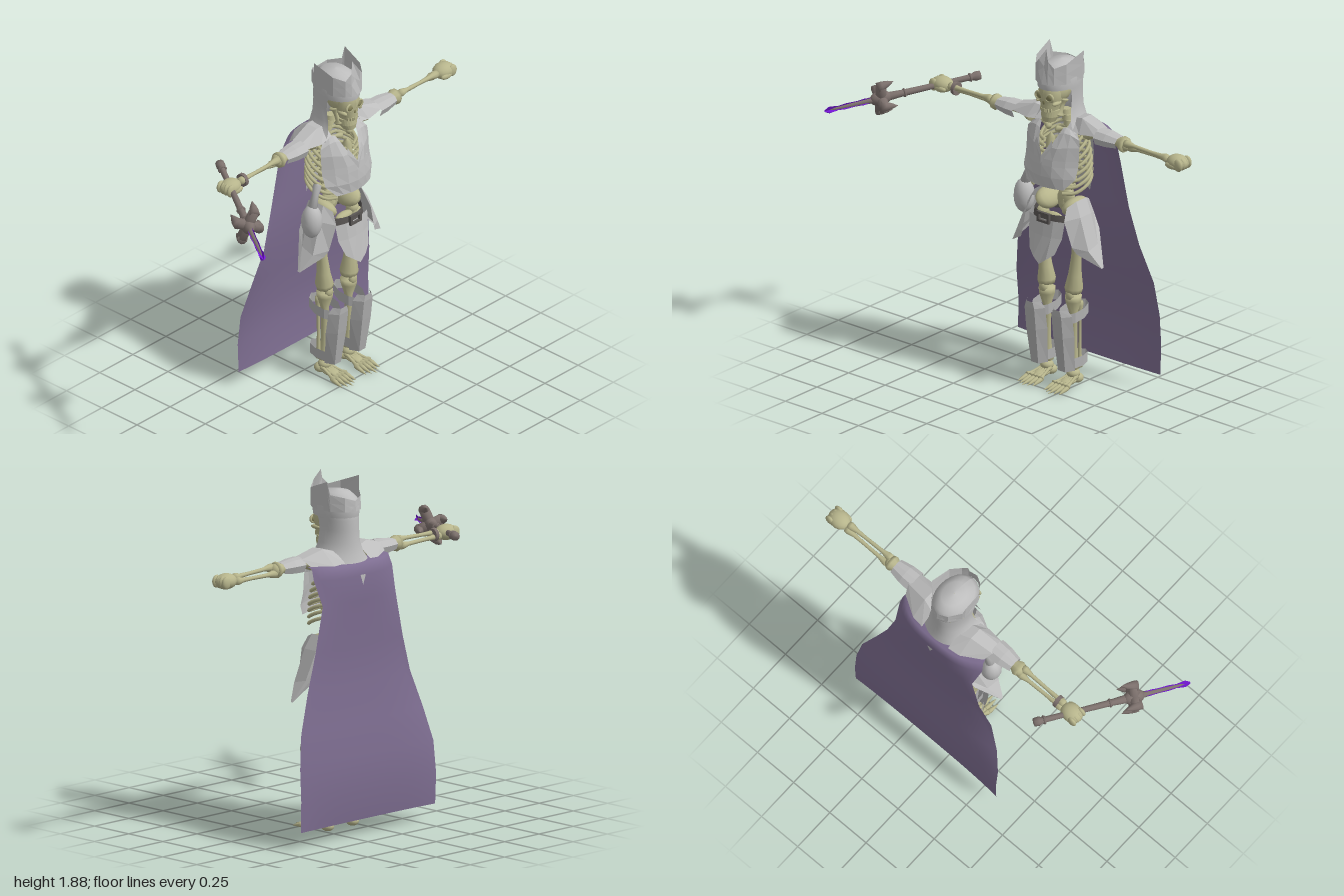
import * as THREE from 'three';

const mat = (name, color, side = THREE.FrontSide) => {
  const m = new THREE.MeshStandardMaterial({ color, side });
  m.name = name;
  return m;
};
const V = (x, y, z) => new THREE.Vector3(x, y, z);

export function createModel() {
  const steel = mat('pale steel', 0xbdbdbd, THREE.DoubleSide);
  const iron = mat('dull iron', 0xb0b0b0, THREE.DoubleSide);
  const boneMat = mat('old bone', 0xb7b58c);
  const hollow = mat('dark hollow', 0x86835c);
  const cloth = mat('violet cloth', 0x7d6d90, THREE.DoubleSide);
  const hilt = mat('dark hilt', 0x7d716d, THREE.DoubleSide);
  const glow = mat('purple edge', 0x7416d6, THREE.DoubleSide);
  const leather = mat('dark leather', 0x5a5654, THREE.DoubleSide);

  const root = new THREE.Group();
  root.name = 'skeletonKnight';
  const body = new THREE.Group();
  body.name = 'body';
  body.position.set(0.135, 0, -0.15);
  root.add(body);

  const add = (name, geo, material, pos, parent = body) => {
    const m = new THREE.Mesh(geo, material);
    m.name = name;
    if (pos) m.position.set(...pos);
    parent.add(m);
    return m;
  };
  // surface through rows of points with equal counts
  const loft = (rows, flat = true) => {
    const n = rows[0].length, idx = [];
    for (let r = 0; r < rows.length - 1; r++) for (let c = 0; c < n - 1; c++) {
      const a = r * n + c;
      idx.push(a, a + n, a + 1, a + 1, a + n, a + n + 1);
    }
    let g = new THREE.BufferGeometry();
    g.setAttribute('position', new THREE.Float32BufferAttribute(rows.flat(2), 3));
    g.setIndex(idx);
    if (flat) g = g.toNonIndexed();
    g.computeVertexNormals();
    return g;
  };
  // turned bone between two points; profile entries are [radius, fraction of length]
  const LONG = [[0, 0], [1, 0.02], [1.05, 0.08], [0.55, 0.22], [0.5, 0.6], [0.65, 0.8], [1.1, 0.92], [1, 0.98], [0, 1]];
  const bone = (name, a, b, r, profile = LONG, material = boneMat, parent = body) => {
    const A = V(...a), d = V(...b).sub(A), L = d.length();
    const m = add(name, new THREE.LatheGeometry(profile.map(([q, t]) => new THREE.Vector2(q * r, t * L)), 10), material, a, parent);
    m.quaternion.setFromUnitVectors(V(0, 1, 0), d.normalize());
    return m;
  };
  const ball = (name, pos, size, material = boneMat, parent = body) => {
    const m = add(name, new THREE.SphereGeometry(1, 14, 10), material, pos, parent);
    m.scale.set(...size);
    return m;
  };
  // elliptic band row, angle measured from the front
  const arc = (y, rx, rz, cz, from, to = Math.PI * 2 - from, n = 24) => Array.from({ length: n + 1 }, (_, i) => {
    const t = from + (to - from) * i / n;
    return [Math.sin(t) * rx, y, cz + Math.cos(t) * rz];
  });
  const SPIKE = [[0, 0], [1, 0.02], [0.9, 0.3], [0.55, 0.65], [0, 1]];

  // skull, rows run downwards
  ball('cranium', [0, 1.645, 0.03], [0.073, 0.08, 0.095]);
  add('face', loft([
    arc(1.675, 0.055, 0.06, 0.07, 0), arc(1.645, 0.066, 0.065, 0.075, 0), arc(1.6, 0.062, 0.058, 0.073, 0),
    arc(1.575, 0.05, 0.06, 0.073, 0), arc(1.54, 0.044, 0.055, 0.075, 0)], false), boneMat);
  add('jaw', loft([arc(1.56, 0.001, 0.001, 0.06, 0), arc(1.545, 0.052, 0.056, 0.066, 0), arc(1.51, 0.05, 0.052, 0.074, 0),
    arc(1.483, 0.036, 0.034, 0.088, 0), arc(1.482, 0.001, 0.001, 0.09, 0)]), boneMat);
  ball('noseHole', [0, 1.592, 0.126], [0.01, 0.015, 0.008], hollow);
  for (const s of [-1, 1]) {
    ball('eyeHole', [s * 0.032, 1.624, 0.125], [0.022, 0.018, 0.01], hollow);
    const rim = add('eyeRim', new THREE.TorusGeometry(0.026, 0.007, 6, 14), boneMat, [s * 0.033, 1.625, 0.126]);
    rim.scale.y = 0.8;
    ball('cheekBone', [s * 0.055, 1.59, 0.09], [0.014, 0.012, 0.035]);
    const side = bone('jawHinge', [s * 0.046, 1.51, 0.06], [s * 0.055, 1.6, 0.03], 0.018);
    side.scale.z = 1.5;
  }
  for (let i = -3; i <= 3; i++) add('tooth', new THREE.BoxGeometry(0.009, 0.018, 0.01), boneMat, [i * 0.011, 1.551, 0.13 - i * i * 0.0022]);

  // helmet with neck guard and crown
  add('helmetDome', loft([arc(1.665, 0.103, 0.135, 0, 0), arc(1.72, 0.106, 0.142, -0.002, 0), arc(1.76, 0.092, 0.118, -0.005, 0),
    arc(1.79, 0.06, 0.075, -0.01, 0), arc(1.8, 0.001, 0.001, -0.01, 0)], false), steel);
  add('neckGuard', loft([arc(1.43, 0.158, 0.15, -0.015, 1.1), arc(1.47, 0.128, 0.141, -0.01, 1.15), arc(1.53, 0.103, 0.136, -0.005, 1.3),
    arc(1.6, 0.099, 0.138, 0, 1.42), arc(1.65, 0.102, 0.137, 0, 1.38), arc(1.667, 0.103, 0.135, 0, 1.3)], false), steel);
  const tips = [[0, 1.885, 0.75], [0.3, 1.83, 0.95], [0.6, 1.795, 1], [1.1, 1.815, 1.03], [1.9, 1.86, 1.1], [2.0, 1.79, 1.03], [2.6, 1.775, 0.98], [Math.PI, 1.755, 0.97]];
  const ring = [...tips, ...tips.slice(0, -1).reverse().map(([a, y, k]) => [Math.PI * 2 - a, y, k])];
  const crownRow = f => ring.map(([a, y, k]) => {
    const q = 1 + (k - 1) * f;
    return [Math.sin(a) * 0.112 * q, 1.7 + (y - 1.7) * f, Math.cos(a) * 0.147 * q];
  });
  add('crown', loft([crownRow(0), crownRow(0.5), crownRow(1)]), steel);

  // spine, ribs and sternum
  for (let i = 0; i < 15; i++) {
    const y = 0.99 + i * 0.036, z = -0.045 - 0.06 * Math.sin(i / 14 * Math.PI);
    add('vertebra', new THREE.CylinderGeometry(0.026, 0.03, 0.027, 8), boneMat, [0, y, z]);
    add('spinousProcess', new THREE.BoxGeometry(0.012, 0.014, 0.03), boneMat, [0, y - 0.006, z - 0.03]);
  }
  for (let i = 0; i < 9; i++) for (const s of [-1, 1]) {
    const y = 1.44 - i * 0.034, w = 0.1 + 0.07 * Math.sin(Math.min(i, 6) / 6 * Math.PI / 2), end = i < 7 ? 0.025 : 0.09;
    const path = new THREE.CatmullRomCurve3([V(s * 0.02, y, -0.1), V(s * w * 0.7, y - 0.005, -0.105), V(s * w, y - 0.035, -0.02),
      V(s * w * 0.85, y - 0.07, 0.055), V(s * end, y - 0.075, 0.09)]);
    add('rib', new THREE.TubeGeometry(path, 14, 0.01, 5), boneMat);
  }
  bone('sternum', [0, 1.13, 0.1], [0, 1.41, 0.07], 0.025, [[0, 0], [0.5, 0.05], [0.8, 0.4], [1, 0.9], [0, 1]]);

  // pelvis
  ball('sacrum', [0, 0.99, -0.05], [0.06, 0.07, 0.03]);
  ball('pubis', [0, 0.93, 0.05], [0.06, 0.025, 0.025]);

  // chest and back plates
  const cols = [-1, -0.7, -0.35, 0, 0.35, 0.7, 1];
  const plate = rows => loft(rows.map(([y, w, z, edge]) => cols.map(u => [u * w, y, z + (edge - z) * u * u])));
  add('chestPlate', plate([[1.13, 0.125, 0.15, 0.12], [1.19, 0.175, 0.155, 0.085], [1.25, 0.178, 0.15, 0.065], [1.285, 0.178, 0.145, 0.06]]), steel);
  add('backPlate', plate([[1.05, 0.1, -0.16, -0.12], [1.15, 0.15, -0.165, -0.08], [1.3, 0.17, -0.165, -0.07], [1.41, 0.16, -0.165, -0.07]]), iron);
  add('cloakStud', loft([[[-0.019, 1.375, -0.2], [0.019, 1.375, -0.2]], [[0, 1.32, -0.2], [0, 1.32, -0.2]]]), steel);

  for (const s of [-1, 1]) {
    const M = rows => rows.map(r => r.map(([x, y, z]) => [s * x, y, z]));
    // chest halves beside the V neck
    add('chestHalf', loft(M([
      [[0.0, 1.285, 0.145], [0.062, 1.285, 0.135], [0.125, 1.285, 0.103], [0.178, 1.285, 0.06]],
      [[0.035, 1.35, 0.125], [0.08, 1.35, 0.12], [0.13, 1.36, 0.092], [0.178, 1.36, 0.055]],
      [[0.065, 1.42, 0.085], [0.095, 1.43, 0.08], [0.13, 1.425, 0.07], [0.175, 1.4, 0.05]],
      [[0.075, 1.45, 0.06], [0.09, 1.455, 0.055], [0.11, 1.45, 0.05], [0.15, 1.43, 0.04]]])), steel);
    add('neckChevron', loft(M([[[0, 1.26, 0.158], [0.06, 1.36, 0.132]], [[0, 1.3, 0.156], [0.05, 1.39, 0.125]]])), steel);

    // shoulder mantle and upper arm guard
    add('shoulderPlate', loft(M([
      [[0.09, 1.45, 0.05], [0.09, 1.495, 0.0], [0.09, 1.495, -0.08], [0.09, 1.44, -0.16]],
      [[0.18, 1.44, 0.06], [0.16, 1.51, 0.01], [0.16, 1.51, -0.06], [0.16, 1.435, -0.15]],
      [[0.28, 1.45, 0.05], [0.29, 1.475, 0.02], [0.29, 1.475, -0.04], [0.27, 1.44, -0.085]]])), steel);
    add('upperArmGuard', loft(M([[0.275, 1.0], [0.34, 0.95], [0.41, 0.72]].map(([x, k]) =>
      [[-0.03, 0.045], [0.01, 0.062], [0.04, 0.035], [0.045, 0], [0.04, -0.035], [0.01, -0.062], [-0.03, -0.045]].map(([y, z]) => [x, 1.437 + y * k, z * k])))), steel);

    // arm
    bone('collarBone', [s * 0.02, 1.43, 0.06], [s * 0.2, 1.46, 0], 0.016);
    bone('upperArm', [s * 0.18, 1.44, 0], [s * 0.455, 1.437, 0], 0.04);
    ball('elbow', [s * 0.442, 1.437, -0.002], [0.032, 0.036, 0.036]);
    bone('radius', [s * 0.45, 1.452, 0.014], [s * 0.75, 1.444, 0.009], 0.02);
    bone('ulna', [s * 0.45, 1.422, -0.014], [s * 0.75, 1.428, -0.011], 0.02);

    // fist
    ball('fist', [s * 0.803, 1.437, 0], [0.063, 0.042, 0.052]);
    for (let i = 0; i < 4; i++) ball('finger', [s * 0.835, 1.437, -0.036 + i * 0.024], [0.029, 0.034, 0.015]);
    ball('thumb', [s * 0.79, 1.425, 0.038], [0.04, 0.018, 0.016]);

    // hip bone and hip flap
    const wing = ball('hipBone', [s * 0.09, 0.995, -0.01], [0.042, 0.06, 0.085]);
    wing.rotation.z = -s * 0.7;
    add('hipFlap', loft(M([
      [[0.12, 1.02, 0.087], [0.14, 1.045, 0.035], [0.14, 1.045, -0.045], [0.12, 1.02, -0.088]],
      [[0.13, 0.955, 0.12], [0.18, 0.97, 0.05], [0.18, 0.97, -0.035], [0.15, 0.955, -0.092]],
      [[0.17, 0.815, 0.105], [0.245, 0.8, 0.06], [0.24, 0.82, -0.02], [0.2, 0.88, -0.078]],
      [[0.19, 0.78, 0.09], [0.305, 0.71, 0.025], [0.305, 0.71, 0.01], [0.23, 0.8, -0.045]]])), steel);

    // leg
    ball('hipJoint', [s * 0.12, 0.915, 0], [0.036, 0.036, 0.036]);
    bone('thigh', [s * 0.13, 0.93, 0], [s * 0.09, 0.51, 0], 0.046, [[0, 0], [0.8, 0.03], [0.9, 0.1], [0.65, 0.25], [0.6, 0.5], [0.8, 0.75], [1.08, 0.92], [0.95, 0.98], [0, 1]]);
    bone('shin', [s * 0.09, 0.51, 0], [s * 0.09, 0.07, -0.005], 0.045, [[0, 0], [1, 0.03], [0.95, 0.1], [0.5, 0.25], [0.42, 0.65], [0.55, 0.85], [0.75, 0.95], [0, 1]]);
    bone('calf', [s * 0.115, 0.47, -0.025], [s * 0.115, 0.09, -0.02], 0.016);
    ball('kneeCap', [s * 0.09, 0.505, 0.03], [0.026, 0.03, 0.018]);

    // shin guard with straps
    add('shinGuard', loft([[0.1, 0.047, 0.095, 0.045], [0.3, 0.065, 0.125, 0.07], [0.42, 0.065, 0.138, 0.088], [0.455, 0.045, 0.138, 0.1]].map(([y, w, z, e]) =>
      [[-w, e], [-w * 0.5, z], [w * 0.5, z], [w, e]].map(([x, q]) => [s * 0.092 + x, y, q]))), iron);
    for (const [y, r, tilt] of [[0.405, 0.06, 0.15], [0.14, 0.052, 0]]) {
      const strap = h => arc(y + h, r, 0.097, 0.002, Math.PI / 8, undefined, 8).map(([x, q, z]) => [x + s * 0.092, q - z * tilt, z]);
      add('shinStrap', loft([strap(-0.028), strap(0.028)]), iron);
    }

    // clawed foot
    ball('heel', [s * 0.09, 0.026, -0.03], [0.034, 0.026, 0.035]);
    ball('ankle', [s * 0.09, 0.062, 0], [0.036, 0.026, 0.036]);
    ball('instep', [s * 0.09, 0.028, 0.04], [0.036, 0.018, 0.055]);
    for (let i = -2; i <= 2; i++) {
      const x = s * 0.09 + i * 0.023;
      bone('footBone', [s * 0.09 + i * 0.011, 0.05, 0.0], [x, 0.022, 0.107], 0.015);
      bone('toeClaw', [x, 0.02, 0.1], [x + i * 0.003, 0.006, 0.205 - Math.abs(i) * 0.014], 0.013, SPIKE);
    }
  }

  // belt, buckle and front flap
  add('belt', loft([arc(0.925, 0.135, 0.1, 0.025, 0), arc(0.97, 0.13, 0.098, 0.022, 0)], false), leather);
  const frame = new THREE.Shape([[-0.042, -0.028], [0.042, -0.028], [0.042, 0.028], [-0.042, 0.028]].map(p => new THREE.Vector2(...p)));
  frame.holes.push(new THREE.Path([[-0.026, -0.015], [-0.026, 0.015], [0.026, 0.015], [0.026, -0.015]].map(p => new THREE.Vector2(...p))));
  add('buckle', new THREE.ExtrudeGeometry(frame, { depth: 0.015, bevelEnabled: false }), leather, [0, 0.95, 0.125]);
  add('frontFlap', loft([[0.94, 0.94, 0.12, 0.128], [0.85, 0.85, 0.112, 0.142], [0.765, 0.7, 0.085, 0.17]].map(([ye, yc, w, z]) =>
    [[-w, ye, z - 0.025], [-w * 0.5, (ye + yc) / 2, z - 0.004], [0, yc, z], [w * 0.5, (ye + yc) / 2, z - 0.004], [w, ye, z - 0.025]])), steel);

  // hanging flask on the right hip
  ball('flask', [-0.22, 0.985, 0.03], [0.056, 0.095, 0.056], steel);
  bone('flaskNeck', [-0.215, 1.06, 0.03], [-0.175, 1.19, 0.03], 0.026, [[0, 0], [1, 0.05], [0.7, 0.5], [0.85, 0.95], [0, 1]], iron);

  // cloak, rows are y, right and left edge x, then right, middle and left depth
  const cloakRows = [[1.435, -0.135, 0.405, -0.215, -0.24, -0.215], [1.43, -0.145, 0.41, -0.25, -0.325, -0.25],
    [1.37, -0.155, 0.415, -0.27, -0.342, -0.27], [1.24, -0.13, 0.4, -0.32, -0.342, -0.32], [1.0, -0.18, 0.455, -0.322, -0.333, -0.322],
    [0.8, -0.25, 0.52, -0.305, -0.338, -0.33], [0.6, -0.315, 0.595, -0.335, -0.365, -0.358], [0.42, -0.355, 0.62, -0.372, -0.385, -0.375],
    [0.25, -0.357, 0.622, -0.39, -0.392, -0.385], [0.085, -0.355, 0.62, -0.385, -0.372, -0.38]];
  add('cloak', loft(cloakRows.map(([y, l, r, zr, zc, zl]) => Array.from({ length: 19 }, (_, i) => {
    const u = i / 9 - 1;
    return [l + (r - l) * (u + 1) / 2, y, zc + ((u < 0 ? zr : zl) - zc) * Math.abs(u) ** 3];
  })), false), cloth, null, root);

  // sword, built along +z from the pommel
  const sword = new THREE.Group();
  sword.name = 'sword';
  sword.position.set(-0.56, 1.46, -0.33);
  sword.quaternion.setFromUnitVectors(V(0, 0, 1), V(-0.44, -0.093, 0.73).normalize());
  sword.rotateZ(-0.35);
  root.add(sword);
  bone('grip', [0, 0, 0], [0, 0, 0.54], 0.018, [[0, 0], [1.3, 0.01], [1.4, 0.06], [0.9, 0.1], [0.85, 0.4], [1, 0.8], [1.4, 1], [0, 1]], hilt, sword);
  for (const z of [0.06, 0.42]) add('gripRing', new THREE.TorusGeometry(0.018, 0.007, 6, 10), hilt, [0, 0, z], sword);
  ball('guardCore', [0, 0, 0.55], [0.036, 0.042, 0.06], hilt, sword);
  for (let i = 0; i < 4; i++) {
    const k = i % 2 ? 1 : 0.75, a = i * Math.PI / 2, P = (r, z) => [Math.cos(a) * r * k, Math.sin(a) * r * k, z];
    bone('guardHornBase', P(0.02, 0.55), P(0.1, 0.55), 0.03, [[1, 0], [0.95, 0.8], [0, 1]], hilt, sword);
    bone('guardHornTip', P(0.08, 0.57), P(0.105, 0.48), 0.028, SPIKE, hilt, sword);
  }
  bone('bladeCore', [0, 0, 0.56], [0, 0, 0.83], 0.0145, [[1.4, 0], [1, 0.3], [0.9, 0.6], [0.6, 0.9], [0, 1]], hilt, sword);
  const edge = [[0.6, 0.018], [0.64, 0.024], [0.68, 0.019], [0.74, 0.022], [0.78, 0.016], [0.83, 0.025], [0.857, 0.006]];
  add('bladeEdge', loft(edge.map(([z, w]) => [[0, -w, z], [0, w, z]])), glow, null, sword);
  add('bladeCrossEdge', loft(edge.map(([z, w]) => [[-w * 0.85, 0, z], [w * 0.85, 0, z]])), glow, null, sword);
  const band = add('wristBand', new THREE.CylinderGeometry(0.036, 0.036, 0.02, 12), hilt, [-0.71, 1.437, 0]);
  band.rotation.z = Math.PI / 2;

  return root;
}
